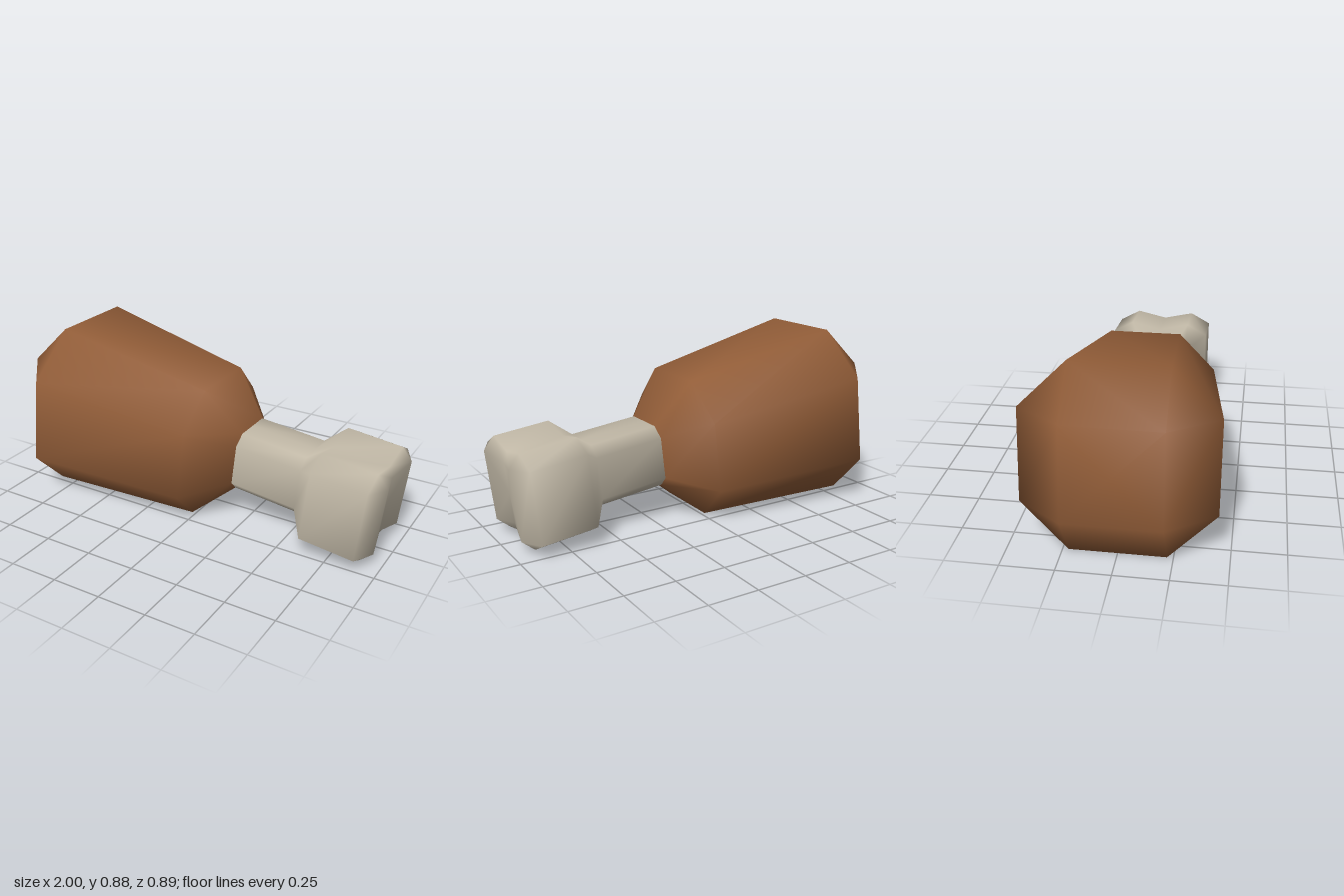
import * as THREE from 'three';
import { mergeVertices } from 'three/addons/utils/BufferGeometryUtils.js';

// Mirrors a quarter outline of [y, z, dx] points (top to +z side) into a full loop around x.
function fullLoop(quarter) {
  const lower = quarter.map(([y, z, d = 0]) => [-y, z, d]).reverse();
  const right = [...quarter, ...lower];
  const left = right.filter((p) => p[1] > 0).map(([y, z, d = 0]) => [y, -z, d]).reverse();
  return [...right, ...left];
}

// Skins a closed, smooth solid through sections { x, quarter }.
function loft(sections) {
  const pos = [];
  const index = [];
  for (const { x, quarter } of sections) {
    for (const [y, z, d = 0] of fullLoop(quarter)) pos.push(x + d, y, z);
  }
  const n = fullLoop(sections[0].quarter).length;
  const last = sections.length - 1;
  const point = (i) => new THREE.Vector3(pos[i * 3], pos[i * 3 + 1], pos[i * 3 + 2]);
  const face = (a, b, c) => {
    const area = new THREE.Triangle(point(a), point(b), point(c)).getArea();
    if (area > 1e-7) index.push(a, b, c); // collapsed corners leave no face
  };

  // End centres
  const start = pos.length / 3;
  const end = start + 1;
  pos.push(sections[0].x, 0, 0);
  pos.push(sections[last].x + (sections[last].quarter[0][2] ?? 0), 0, 0);

  for (let j = 0; j < n; j++) {
    const k = (j + 1) % n;
    for (let i = 0; i < last; i++) {
      const a = i * n + j, b = i * n + k;
      face(a, b, a + n);
      face(b, b + n, a + n);
    }
    face(start, k, j);
    face(end, last * n + j, last * n + k);
  }
  const geo = new THREE.BufferGeometry();
  geo.setAttribute('position', new THREE.Float32BufferAttribute(pos, 3));
  geo.setIndex(index);
  const merged = mergeVertices(geo, 1e-4);
  merged.computeVertexNormals();
  return merged;
}

export function createModel() {
  const meatBrown = new THREE.MeshStandardMaterial({ color: 0x925d38 });
  const boneIvory = new THREE.MeshStandardMaterial({ color: 0xc4bba9 });

  const octagon = (half, side) => [[half, side], [side, half]];

  // Meat: square back end, two octagons, narrow collar around the bone
  const meat = new THREE.Mesh(loft([
    { x: -0.982, quarter: octagon(0.222, 0.222) },
    { x: -0.8, quarter: octagon(0.443, 0.222) },
    { x: 0.02, quarter: octagon(0.352, 0.176) },
    { x: 0.211, quarter: octagon(0.157, 0.105) },
  ]), meatBrown);
  meat.name = 'meat';

  // Bone: straight shaft opening into a two-lobed knuckle with a central groove
  const shaft = [[0.156, 0], [0.156, 0.105], [0.105, 0.156]];
  const knuckle = [[0.202, 0], [0.237, 0.16], [0.18, 0.266]];
  const tip = [[0.15, 0, -0.035], [0.177, 0.16], [0.177, 0.16]];
  const bone = new THREE.Mesh(loft([
    { x: 0.208, quarter: shaft },
    { x: 0.557, quarter: shaft },
    { x: 0.647, quarter: knuckle },
    { x: 0.926, quarter: knuckle },
    { x: 0.984, quarter: tip },
  ]), boneIvory);
  bone.name = 'bone';

  // The whole drumstick lies tilted, resting on the meat and the knuckle
  const drumstick = new THREE.Group();
  drumstick.name = 'drumstick';
  drumstick.add(meat, bone);
  drumstick.rotation.z = -0.115;
  drumstick.position.y = 0.352;

  const model = new THREE.Group();
  model.name = 'meatOnBone';
  model.add(drumstick);
  return model;
}
